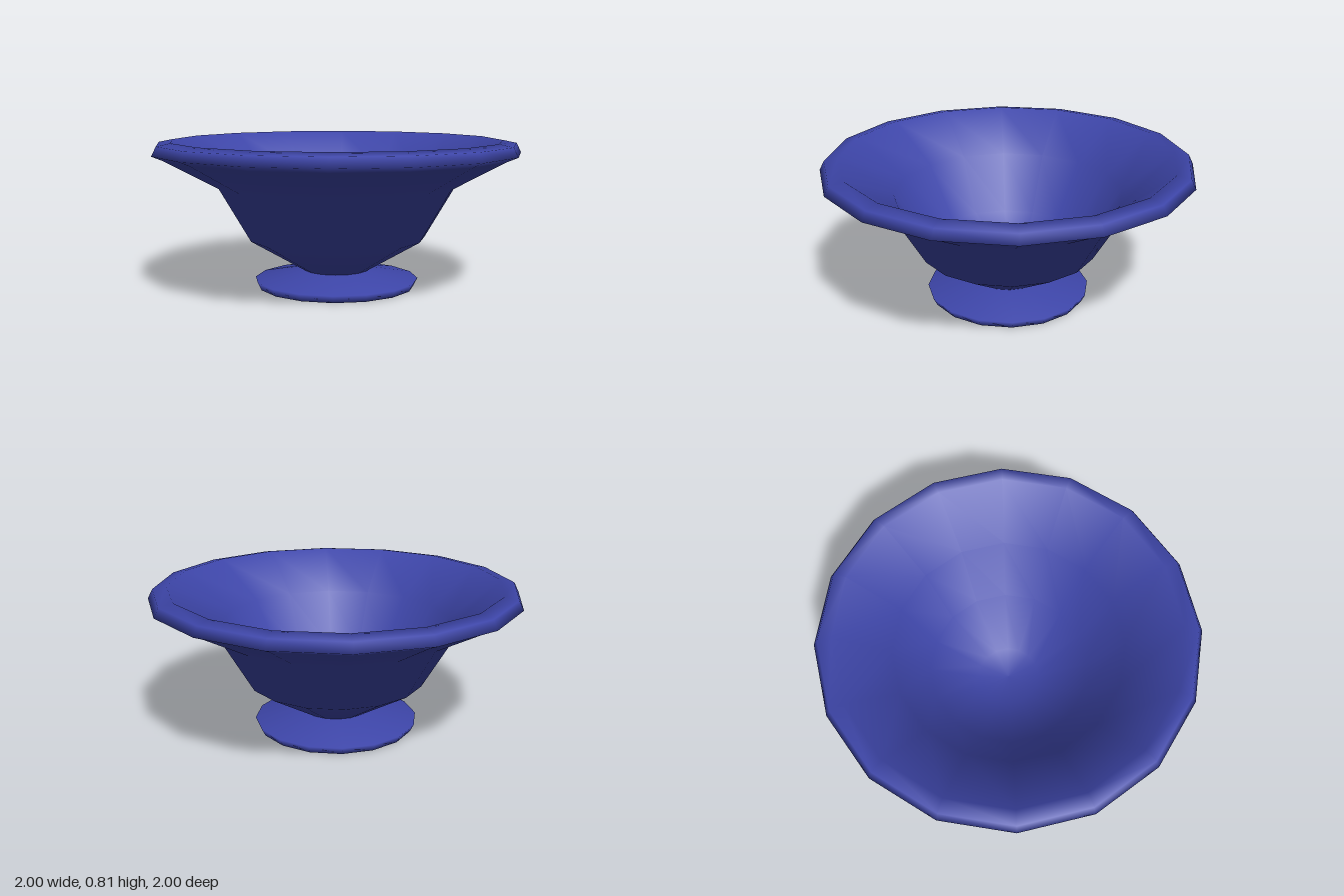
import * as THREE from 'three';

const SIDES = 16;
const glaze = new THREE.MeshStandardMaterial({ color: 0x3d45a8 });

// Spins a [radius, height] profile around the y axis
function turned(name, profile) {
  const points = profile.map(([r, y]) => new THREE.Vector2(r, y));
  const mesh = new THREE.Mesh(new THREE.LatheGeometry(points, SIDES), glaze);
  mesh.name = name;
  return mesh;
}

export function createModel() {
  const group = new THREE.Group();
  group.name = 'footedBowl';

  // Flat foot with a bevelled edge, sloping up to the narrow neck
  group.add(turned('foot', [[0, 0], [0.43, 0], [0.45, 0.04], [0.18, 0.09]]));

  // Bowl: outer wall, rolled rim, then the inner wall down to the centre
  group.add(turned('bowl', [
    [0.18, 0.09], [0.485, 0.27], [0.655, 0.56], [0.94, 0.715],
    [1, 0.74], [0.975, 0.79], [0.9, 0.805],
    [0.62, 0.6], [0.44, 0.3], [0.17, 0.14], [0, 0.13],
  ]));

  return group;
}
